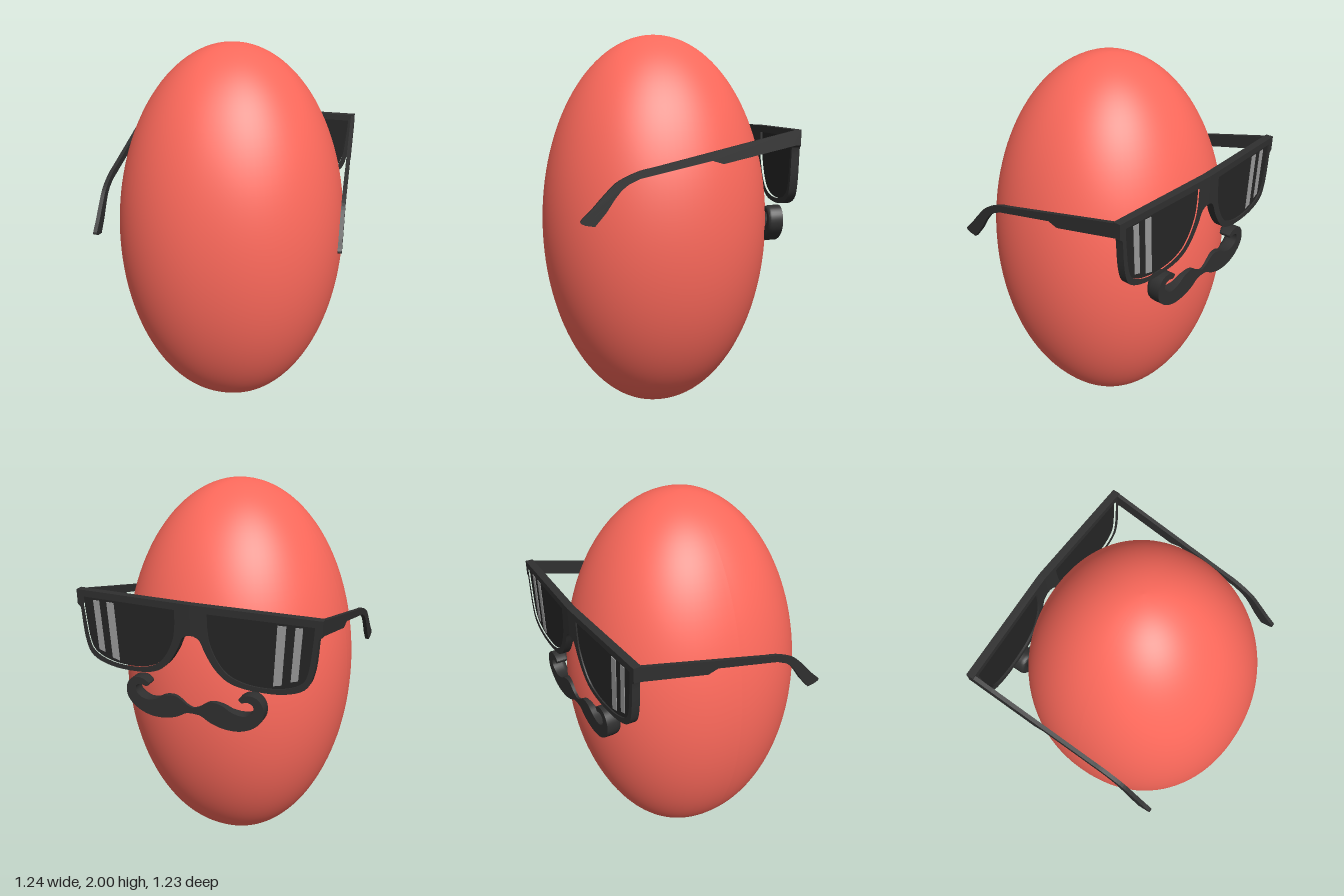
import * as THREE from 'three';
import { toCreasedNormals } from 'three/addons/utils/BufferGeometryUtils.js';

const mat = (color) => new THREE.MeshStandardMaterial({ color });
const red = mat(0xff6a5c), black = mat(0x303030), lensBlack = mat(0x262626), glint = mat(0x9c9c9c);

const vecs = (pts, side = 1) => pts.map(([x, y]) => new THREE.Vector2(x * side, y));

// Straight-edged run of points followed by a smooth run, as one closed outline
const outline = (straight, curved, side) => [
  ...vecs(straight, side),
  ...new THREE.SplineCurve(vecs(curved, side)).getPoints(curved.length * 4),
];

function mesh(name, geometry, material) {
  const m = new THREE.Mesh(geometry, material);
  m.name = name;
  return m;
}

// Plate in the xy plane between z0 and z0 + depth, swept back towards the temples
function plate(points, z0, depth, hole) {
  const shape = new THREE.Shape(points);
  if (hole) shape.holes.push(new THREE.Path(hole));
  const g = new THREE.ExtrudeGeometry(shape, { depth, bevelEnabled: false });
  const p = g.attributes.position;
  for (let i = 0; i < p.count; i++) p.setZ(i, p.getZ(i) + z0 + 0.045 * Math.abs(p.getX(i)));
  g.computeVertexNormals();
  return toCreasedNormals(g, 0.5);
}

// Egg body: a sphere stretched upward, very slightly squared in plan
function eggGeometry() {
  const g = new THREE.SphereGeometry(1, 96, 64);
  const p = g.attributes.position, e = 2.12;
  for (let i = 0; i < p.count; i++) {
    const x = p.getX(i), z = p.getZ(i), r = Math.hypot(x, z);
    const k = r < 1e-6 ? 1 : r / (Math.abs(x) ** e + Math.abs(z) ** e) ** (1 / e);
    p.setXYZ(i, x * k * 0.603, p.getY(i), z * k * 0.603);
  }
  g.computeVertexNormals();
  return g.translate(0.005, 1, 0.012);
}

// Half of the front frame, from the bridge to the hinge
const FRAME_STRAIGHT = [[0, 1.375], [0, 1.525], [0.62, 1.52], [0.62, 1.445], [0.605, 1.435]];
const FRAME_CURVE = [[0.602, 1.42], [0.588, 1.27], [0.55, 1.185], [0.44, 1.145], [0.29, 1.143],
  [0.19, 1.165], [0.125, 1.215], [0.075, 1.29], [0.045, 1.355], [0.015, 1.374]];
// Lens opening
const LENS_STRAIGHT = [[0.08, 1.49], [0.585, 1.487]];
const LENS_CURVE = [[0.582, 1.43], [0.563, 1.27], [0.525, 1.205], [0.43, 1.17], [0.3, 1.167],
  [0.2, 1.195], [0.14, 1.25], [0.095, 1.34], [0.082, 1.42]];
// Temple arm, as (z, y)
const ARM_STRAIGHT = [[0.402, 1.083], [0.35, 1.145], [0.307, 1.21], [0.275, 1.25], [0.243, 1.275], [0.19, 1.3],
  [-0.153, 1.378], [-0.206, 1.362], [-0.57, 1.447], [-0.57, 1.52], [-0.445, 1.49]];
const ARM_CURVE = [[0.13, 1.35], [0.2, 1.333], [0.296, 1.287], [0.36, 1.225], [0.42, 1.158],
  [0.468, 1.108], [0.445, 1.09]];
// Half moustache with its curled tip
const MOUSTACHE = [[0, 1.0], [0.03, 1.01], [0.09, 1.047], [0.15, 1.04], [0.2, 1.013], [0.26, 1.003],
  [0.305, 1.03], [0.308, 1.066], [0.28, 1.08], [0.25, 1.073], [0.237, 1.092], [0.28, 1.115], [0.33, 1.105],
  [0.36, 1.06], [0.355, 1.0], [0.31, 0.95], [0.24, 0.92], [0.16, 0.918], [0.09, 0.937], [0.04, 0.965], [0, 0.97]];

// Moustache half: flat at the front, rounded at the back
function moustacheGeometry(side) {
  const pts = new THREE.SplineCurve(vecs(MOUSTACHE, side)).getPoints(80);
  const g = new THREE.ExtrudeGeometry(new THREE.Shape(pts), {
    depth: 0.05, bevelThickness: 0.025, bevelSize: 0.014, bevelOffset: -0.014, bevelSegments: 4,
  });
  const p = g.attributes.position;
  for (let i = 0; i < p.count; i++) p.setZ(i, Math.max(p.getZ(i), 0) - 0.605);
  g.computeVertexNormals();
  return toCreasedNormals(g, 0.6);
}

function armGeometry(side) {
  const shape = new THREE.Shape(outline(ARM_STRAIGHT, ARM_CURVE, 1));
  const g = new THREE.ExtrudeGeometry(shape, { depth: 0.02, bevelEnabled: false });
  // Turn the profile so its first axis runs along z
  g.rotateY(-Math.PI / 2);
  g.translate(side > 0 ? 0.62 : -0.6, 0, 0);
  return g;
}

export function createModel() {
  const model = new THREE.Group();
  model.name = 'eggWithGlasses';
  model.add(mesh('egg', eggGeometry(), red));

  const glasses = new THREE.Group();
  glasses.name = 'glasses';
  const moustache = new THREE.Group();
  moustache.name = 'moustache';
  model.add(glasses, moustache);

  for (const side of [1, -1]) {
    const label = side > 0 ? 'left' : 'right';
    const lens = outline(LENS_STRAIGHT, LENS_CURVE, side);
    glasses.add(mesh(label + 'Frame',
      plate(outline(FRAME_STRAIGHT, FRAME_CURVE, side), -0.613, 0.04, lens), black));
    glasses.add(mesh(label + 'Lens', plate(lens, -0.606, 0.022), lensBlack));
    glasses.add(mesh(label + 'Temple', armGeometry(side), black));

    // Two slanted reflections on each lens
    for (const [x, w, low] of [[0.415, 0.04, 1.18], [0.497, 0.034, 1.212]]) {
      const bar = vecs([[x, 1.475], [x + w, 1.475], [x + w - 0.015, low + 0.01], [x - 0.015, low]], side);
      glasses.add(mesh(label + 'Reflection', plate(bar, -0.609, 0.004), glint));
    }
    moustache.add(mesh(label + 'Moustache', moustacheGeometry(side), black));
  }
  return model;
}
